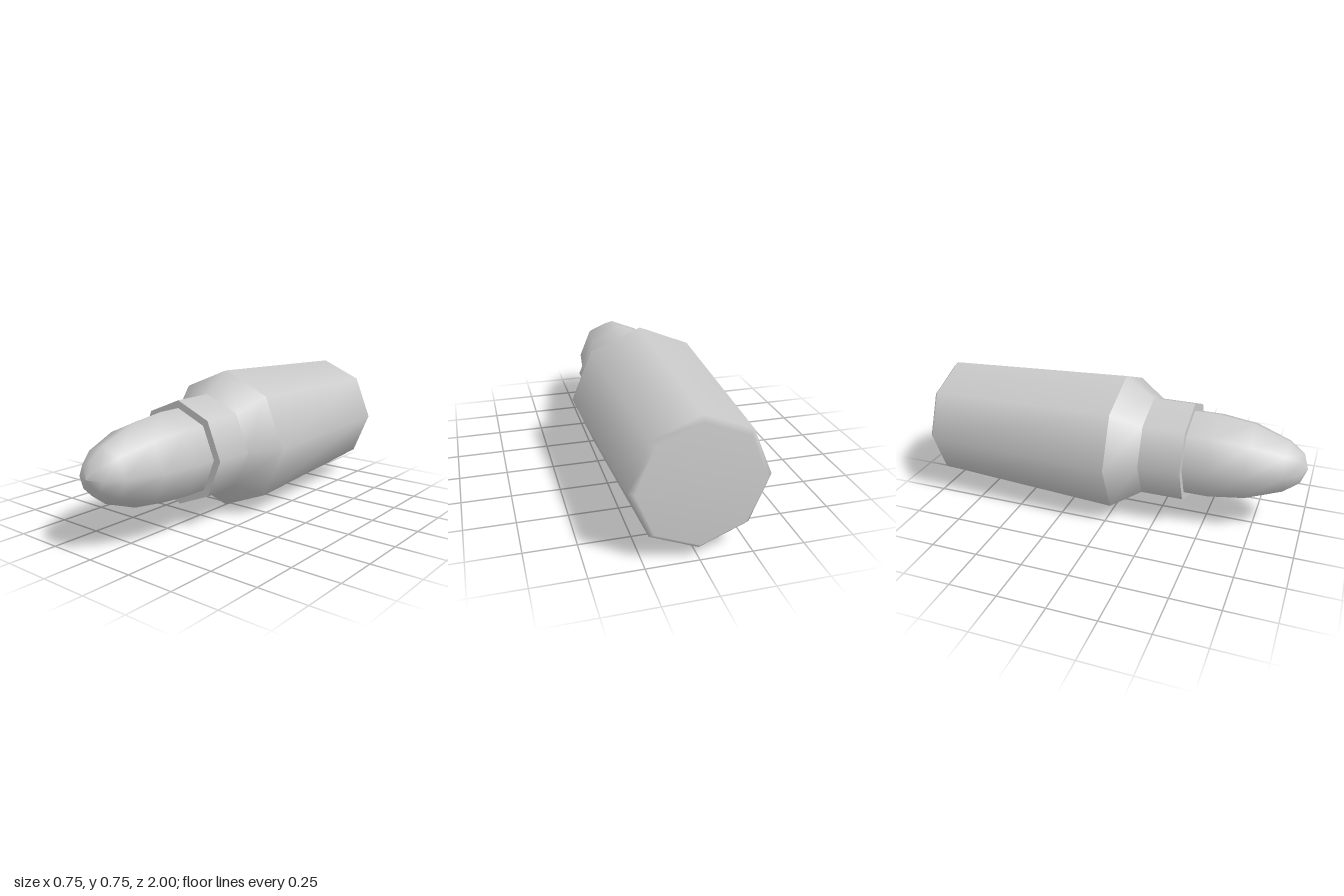
import * as THREE from 'three';

const SIDES = 8;
const AXIS_HEIGHT = 0.373;

export function createModel() {
  const group = new THREE.Group();
  group.name = 'markerPen';
  const material = new THREE.MeshStandardMaterial({ color: 0xcccccc });

  // Octagonal turned section along z; profile is [radius, z] from back to front
  function addSection(name, profile) {
    const geometry = new THREE.LatheGeometry(profile.map(([r, z]) => new THREE.Vector2(r, z)), SIDES);
    geometry.rotateX(Math.PI / 2);
    const mesh = new THREE.Mesh(geometry, material);
    mesh.name = name;
    mesh.position.y = AXIS_HEIGHT;
    group.add(mesh);
  }

  // Tapered barrel with a softly bevelled, closed back end
  addSection('barrel', [[0, -1], [0.295, -1], [0.322, -0.975], [0.373, 0.035]]);
  // Cone stepping down to the collar
  addSection('shoulder', [[0.373, 0.035], [0.268, 0.185]]);
  // Straight collar and its flat front rim
  addSection('collar', [[0.268, 0.185], [0.268, 0.405]]);
  addSection('collarRim', [[0.268, 0.405], [0.225, 0.405]]);
  // Rounded bullet tip
  addSection('tip', [
    [0.229, 0.4], [0.229, 0.53], [0.204, 0.715], [0.137, 0.895], [0.078, 0.972], [0, 1],
  ]);

  return group;
}
